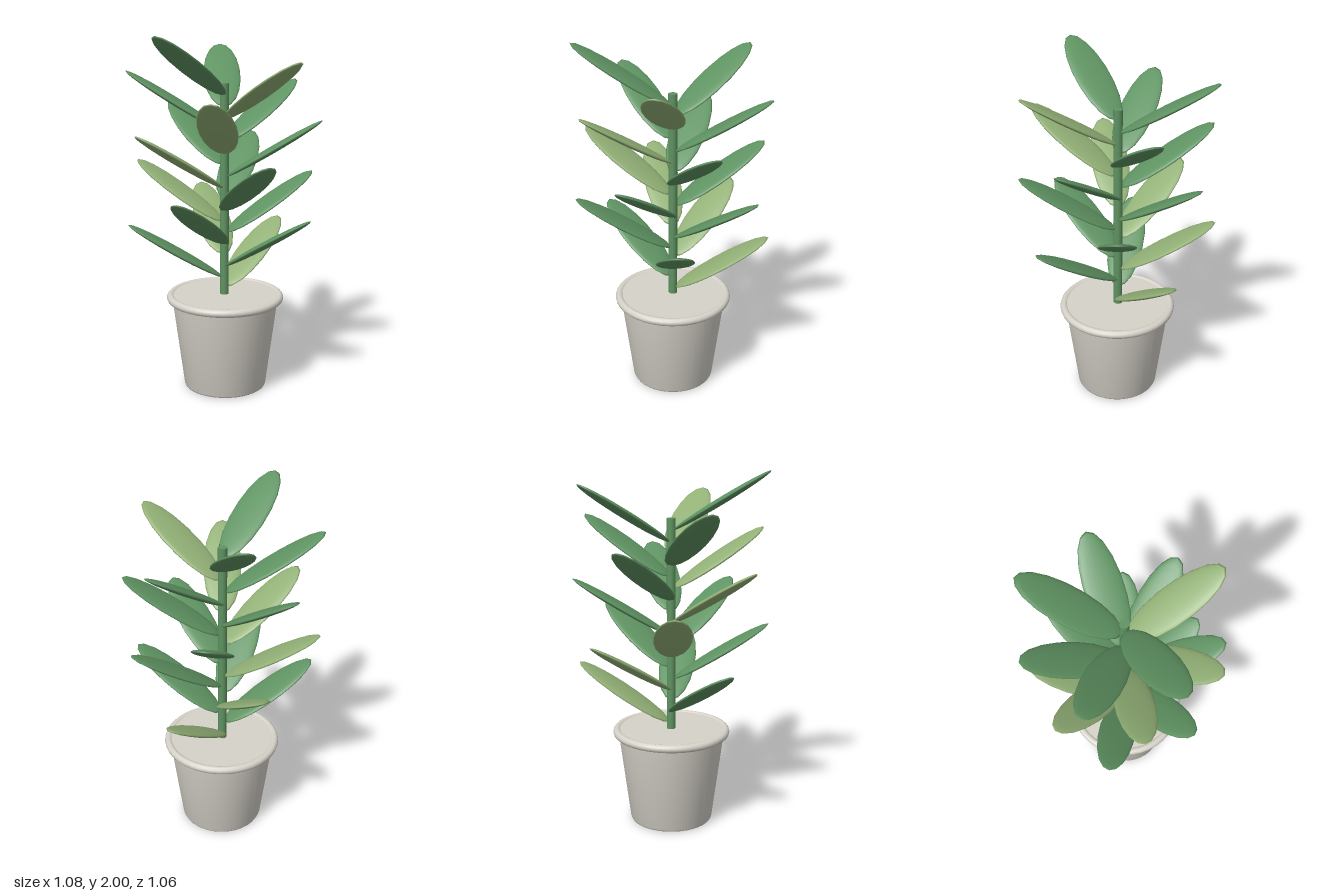
import * as THREE from 'three';
import { toCreasedNormals } from 'three/addons/utils/BufferGeometryUtils.js';

const LEAF_COUNT = 18;
const GOLDEN_ANGLE = THREE.MathUtils.degToRad(137.5);
const LEAF_TILT = 0.55;

function material(name, color) {
  const m = new THREE.MeshStandardMaterial({ color });
  m.name = name;
  return m;
}

function part(name, geometry, mat, parent) {
  const mesh = new THREE.Mesh(geometry, mat);
  mesh.name = name;
  parent.add(mesh);
  return mesh;
}

export function createModel() {
  const model = new THREE.Group();
  model.name = 'pottedPlant';
  const clay = material('pale clay', 0xd6d2c9);
  const green = material('leaf green', 0x5f9362);
  const lightGreen = material('light leaf green', 0x92b076);

  // Tapered pot, closed at the top, with a slightly rounded foot
  const profile = [[0, 0], [0.225, 0], [0.232, 0.003], [0.236, 0.012], [0.305, 0.543], [0, 0.543]]
    .map(([r, y]) => new THREE.Vector2(r, y));
  part('pot', toCreasedNormals(new THREE.LatheGeometry(profile, 40), 0.9), clay, model);

  // Rolled rim
  const rim = part('potRim', new THREE.TorusGeometry(0.311, 0.0225, 12, 40), clay, model);
  rim.rotation.x = Math.PI / 2;
  rim.position.y = 0.5275;

  // Stem and leaves sit very slightly behind the centre
  const plant = new THREE.Group();
  plant.name = 'plant';
  plant.position.z = -0.005;
  model.add(plant);
  const stem = part('stem', new THREE.CylinderGeometry(0.025, 0.025, 1.21, 12), green, plant);
  stem.position.y = 1.135;

  // Flattened oval leaves in a golden-angle spiral, every third one lighter
  const leafGeometry = new THREE.SphereGeometry(1, 18, 12);
  leafGeometry.scale(0.31, 0.02, 0.106);
  for (let i = 0; i < LEAF_COUNT; i++) {
    const angle = i * GOLDEN_ANGLE;
    const leaf = part(`leaf${i + 1}`, leafGeometry, i % 3 === 0 ? lightGreen : green, plant);
    leaf.rotation.set(0, angle, LEAF_TILT, 'YXZ');
    leaf.position.set(0.276 * Math.cos(angle), 0.7425 + i * 0.0644, -0.276 * Math.sin(angle));
  }
  return model;
}
